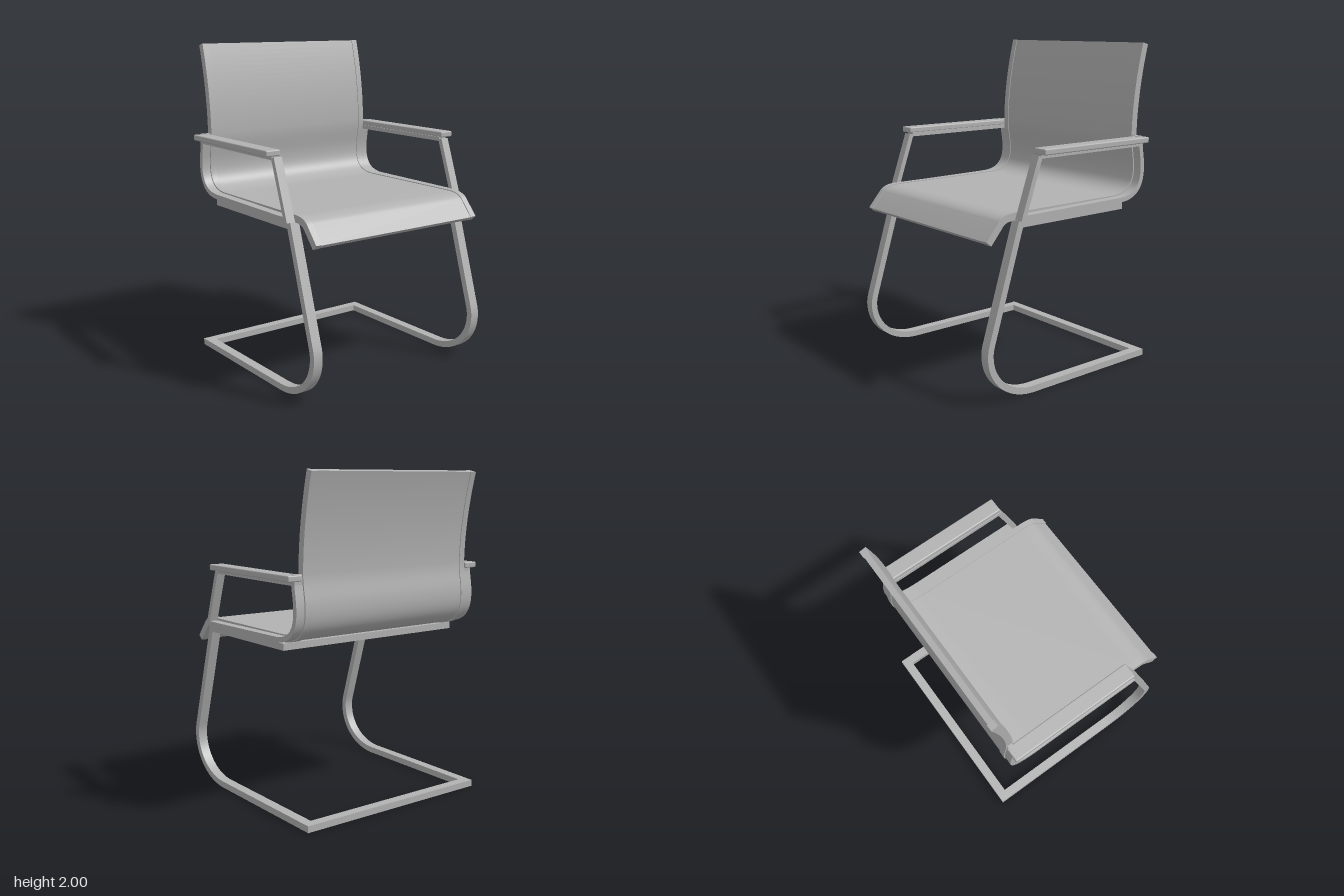
import * as THREE from 'three';
import { toCreasedNormals } from 'three/addons/utils/BufferGeometryUtils.js';
import { RoundedBoxGeometry } from 'three/addons/geometries/RoundedBoxGeometry.js';

// Offset a polyline sideways by d, with mitred corners
function offset(pts, d) {
  return pts.map((p, i) => {
    const a = pts[Math.max(i - 1, 0)], b = pts[Math.min(i + 1, pts.length - 1)];
    const t1 = (i > 0 ? p.clone().sub(a) : b.clone().sub(p)).normalize();
    const t2 = (i < pts.length - 1 ? b.clone().sub(p) : t1.clone()).normalize();
    const n1 = new THREE.Vector2(-t1.y, t1.x), n2 = new THREE.Vector2(-t2.y, t2.x);
    const m = n1.clone().add(n2).normalize();
    return m.multiplyScalar(d / m.dot(n1)).add(p);
  });
}

// Flat bar following a path in the (z, y) plane, with its width along x
function ribbon(path, thickness, width) {
  const pts = path.getPoints(18);
  const shape = new THREE.Shape([
    ...offset(pts, thickness / 2),
    ...offset(pts, -thickness / 2).reverse(),
  ]);
  const geo = new THREE.ExtrudeGeometry(shape, { depth: width, bevelEnabled: false });
  geo.translate(0, 0, -width / 2).rotateY(-Math.PI / 2);
  return toCreasedNormals(geo, 0.5);
}

// Rear sweep shared by the shell and the arm loops
function sweepUp(path) {
  return path.lineTo(-0.35, 1.062)
    .bezierCurveTo(-0.5, 1.062, -0.56, 1.13, -0.552, 1.26)
    .bezierCurveTo(-0.549, 1.32, -0.531, 1.37, -0.531, 1.44);
}

export function createModel() {
  const group = new THREE.Group();
  const grey = new THREE.MeshStandardMaterial({ color: 0xb2b2b2 });
  grey.name = 'grey';

  function add(name, geo, x = 0, y = 0, z = 0) {
    const mesh = new THREE.Mesh(geo, grey);
    mesh.name = name;
    mesh.position.set(x, y, z);
    group.add(mesh);
  }

  // Seat and back shell: one curved sheet with thicker edge rims
  const shell = new THREE.Path().moveTo(0.61, 0.93);
  shell.lineTo(0.525, 1.03).quadraticCurveTo(0.497, 1.062, 0.42, 1.062);
  sweepUp(shell).bezierCurveTo(-0.531, 1.62, -0.564, 1.82, -0.612, 1.995);
  add('seatPanel', ribbon(shell, 0.034, 1.15));
  const rim = ribbon(shell, 0.044, 0.04);

  // Cantilever side frame: floor runner, front bend, leg and seat rail
  const leg = new THREE.Path().moveTo(-0.635, 0.02);
  leg.lineTo(0.3, 0.02)
    .bezierCurveTo(0.49, 0.02, 0.625, 0.14, 0.625, 0.29)
    .bezierCurveTo(0.625, 0.325, 0.616, 0.35, 0.605, 0.385)
    .lineTo(0.408, 1.02).lineTo(-0.405, 1.02);
  const legGeo = ribbon(leg, 0.04, 0.06);

  // Arm loop: front post, run beside the seat, rise beside the back
  const arm = new THREE.Path().moveTo(0.286, 1.392);
  arm.lineTo(0.404, 1.056).lineTo(0.3, 1.056);
  sweepUp(arm);
  const armGeo = ribbon(arm, 0.03, 0.055);

  for (const [side, s] of [['left', 1], ['right', -1]]) {
    add(side + 'ShellRim', rim, s * 0.593);
    add(side + 'LegFrame', legGeo, s * 0.616);
    add(side + 'ArmLoop', armGeo, s * 0.642);
    add(side + 'ArmBar', new THREE.BoxGeometry(0.055, 0.026, 0.83), s * 0.642, 1.391, -0.135);
    add(side + 'ArmPad', new RoundedBoxGeometry(0.095, 0.036, 0.85, 3, 0.008), s * 0.667, 1.419, -0.132);
  }

  // Cross bars joining the side frames
  add('floorCrossBar', new THREE.BoxGeometry(1.18, 0.04, 0.06), 0, 0.02, -0.605);
  add('seatCrossBar', new THREE.BoxGeometry(1.18, 0.04, 0.06), 0, 1.02, -0.375);

  return group;
}
